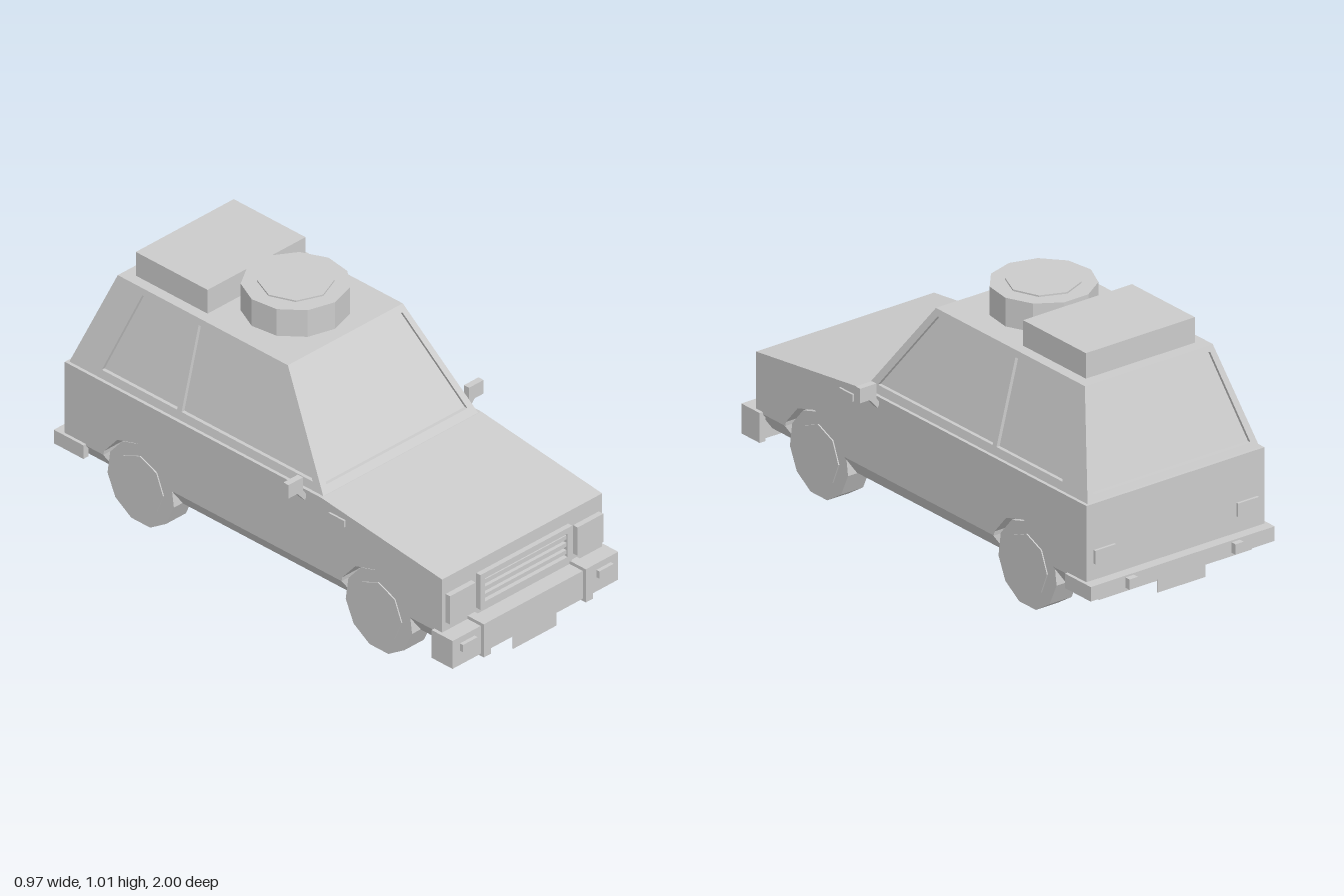
import * as THREE from 'three';

const mat = new THREE.MeshStandardMaterial({ color: 0xcccccc, flatShading: true, side: THREE.DoubleSide });
const V = (x, y, z) => new THREE.Vector3(x, y, z);
const shapeOf = pts => new THREE.Shape(pts.map(p => new THREE.Vector2(...p)));

export function createModel() {
  const car = new THREE.Group();
  car.name = 'offRoadCar';

  const add = (name, geo, parent = car) => {
    const m = new THREE.Mesh(geo, mat);
    m.name = name;
    parent.add(m);
    return m;
  };
  // Box given by its extents on each axis
  const box = (name, x0, x1, y0, y1, z0, z1) => {
    const g = new THREE.BoxGeometry(Math.abs(x1 - x0), y1 - y0, Math.abs(z1 - z0));
    g.translate((x0 + x1) / 2, (y0 + y1) / 2, (z0 + z1) / 2);
    return add(name, g);
  };
  // The same box on both sides of the car
  const pair = (name, x0, x1, ...rest) => {
    box(name + 'Left', x0, x1, ...rest);
    box(name + 'Right', -x1, -x0, ...rest);
  };

  // Wheel positions and the polygon shared by tyres and arches
  const SIDES = 11, R = 0.165, AXLE_Y = 0.158, axles = [0.59, -0.582];
  const sill = 0.215, belt = 0.515, half = 0.397;

  // Main body, side outline with wheel arches cut out (u runs along z)
  const outline = [[-0.937, sill], [-0.937, belt], [0.325, belt], [0.92, 0.442], [0.92, sill]];
  for (const z of axles) {
    outline.push([z + 0.165, sill]);
    for (let k = 2; k >= -2; k--) {
      const a = k * 2 * Math.PI / SIDES;
      outline.push([z + 0.178 * Math.sin(a), AXLE_Y + 0.178 * Math.cos(a)]);
    }
    outline.push([z - 0.165, sill]);
  }
  const body = new THREE.ExtrudeGeometry(shapeOf(outline), { depth: half * 2, bevelEnabled: false });
  body.translate(0, 0, -half).rotateY(-Math.PI / 2);
  add('body', body);

  // Sills below the body, tapering inwards
  const sillShape = shapeOf([[-0.34, 0.138], [0.34, 0.138], [half, sill], [-half, sill]]);
  for (const [z0, z1] of [[0.76, 0.92], [-0.41, 0.425], [-0.937, -0.75]]) {
    const g = new THREE.ExtrudeGeometry(sillShape, { depth: z1 - z0, bevelEnabled: false });
    add('sill', g.translate(0, 0, z0));
  }

  // Cabin walls: sloped panels with window holes and recessed glass
  const wall = (name, u, w, offset, slope, frame, windows) => {
    const m = new THREE.Matrix4().makeBasis(u, V(0, 1, 0).addScaledVector(w, slope), w);
    m.setPosition(w.clone().multiplyScalar(offset).setY(belt));
    const local = pts => pts.map(([a, y]) => [a, y - belt]);
    const shape = shapeOf(local(frame));
    for (const win of windows) {
      shape.holes.push(shapeOf(local(win)));
      const glass = new THREE.ShapeGeometry(shapeOf(local(win)));
      add(name + 'Glass', glass.translate(0, 0, -0.014).applyMatrix4(m));
    }
    const g = new THREE.ExtrudeGeometry(shape, { depth: 0.02, bevelEnabled: false });
    add(name + 'Frame', g.translate(0, 0, -0.02).applyMatrix4(m));
  };
  const roofY = 0.89, rise = roofY - belt, baseX = 0.384, topX = 0.285;
  const zf = 0.322, zft = 0.05, zr = -0.927, zrt = -0.787;
  const endFrame = [[-baseX, belt], [baseX, belt], [topX, roofY], [-topX, roofY]];
  const endWindow = [[-0.35, 0.54], [0.35, 0.54], [0.267, 0.868], [-0.267, 0.868]];
  wall('windscreen', V(1, 0, 0), V(0, 0, 1), zf, (zft - zf) / rise, endFrame, [endWindow]);
  wall('rearWindow', V(-1, 0, 0), V(0, 0, -1), -zr, (zr - zrt) / rise, endFrame, [endWindow]);
  const sideFrame = [[zr, belt], [zf, belt], [zft, roofY], [zrt, roofY]];
  const sideWindows = [
    [[-0.383, 0.545], [0.262, 0.545], [0.032, 0.866], [-0.383, 0.866]],
    [[-0.775, 0.545], [-0.405, 0.545], [-0.405, 0.866], [-0.66, 0.866]],
  ];
  for (const s of [1, -1]) {
    const flip = pts => pts.map(([z, y]) => [-s * z, y]);
    wall(s > 0 ? 'leftSide' : 'rightSide', V(0, 0, -s), V(s, 0, 0), baseX,
      (topX - baseX) / rise, flip(sideFrame), sideWindows.map(flip));
  }
  box('roof', -topX, topX, roofY - 0.012, roofY, zrt, zft);

  // Roof load: cargo box and spare wheel
  box('cargoBox', -0.243, 0.243, roofY, 0.988, -0.74, -0.387);
  const spare = new THREE.Group();
  spare.name = 'spareWheel';
  spare.position.set(0, roofY, -0.194);
  add('spareTyre', new THREE.CylinderGeometry(0.193, 0.193, 0.11, SIDES).translate(0, 0.055, 0), spare);
  add('spareHub', new THREE.CylinderGeometry(0.135, 0.135, 0.116, 8).translate(0, 0.058, 0), spare);
  car.add(spare);

  // Wheels, with a thick axle drum running through each pair
  const roller = (r, width, sides) =>
    new THREE.CylinderGeometry(r, r, width, sides).rotateZ(Math.PI / 2).rotateX(-Math.PI / 2);
  axles.forEach((z, i) => {
    const end = i ? 'rear' : 'front';
    for (const s of [1, -1])
      add(end + (s > 0 ? 'LeftTyre' : 'RightTyre'), roller(R, 0.098, SIDES)).position.set(s * 0.329, AXLE_Y, z);
    add(end + 'AxleHub', roller(0.115, 0.766, 8)).position.set(0, AXLE_Y + 0.003, z);
  });

  // Grille: frame with a recess and horizontal slats
  const grille = shapeOf([[-0.228, 0.25], [0.228, 0.25], [0.228, 0.393], [-0.228, 0.393]]);
  grille.holes.push(shapeOf([[-0.205, 0.274], [0.205, 0.274], [0.205, 0.37], [-0.205, 0.37]]));
  const grilleGeo = new THREE.ExtrudeGeometry(grille, { depth: 0.022, bevelEnabled: false });
  add('grilleFrame', grilleGeo.translate(0, 0, 0.918));
  for (const y of [0.292, 0.322, 0.352]) box('grilleSlat', -0.205, 0.205, y - 0.008, y + 0.008, 0.915, 0.934);

  // Lamps
  pair('headlight', 0.253, 0.38, 0.258, 0.375, 0.91, 0.942);
  pair('frontIndicator', 0.302, 0.374, 0.167, 0.197, 0.97, 1.0);
  pair('sideIndicator', 0.39, 0.405, 0.449, 0.476, 0.368, 0.445);
  pair('tailLight', 0.272, 0.365, 0.285, 0.337, -0.947, -0.93);

  // Front bumper with wrapped ends, overriders and plate
  box('frontBumper', -0.411, 0.411, 0.108, 0.223, 0.9, 0.985);
  pair('frontBumperEnd', 0.385, 0.411, 0.108, 0.223, 0.882, 0.985);
  pair('frontOverrider', 0.235, 0.271, 0.099, 0.236, 0.91, 1.0);
  box('frontPlate', -0.107, 0.107, 0.053, 0.112, 0.978, 0.982);

  // Rear bumper with wrapped ends, overriders and plate
  box('rearBumper', -0.41, 0.41, 0.166, 0.222, -0.978, -0.92);
  pair('rearBumperEnd', 0.385, 0.41, 0.166, 0.222, -0.978, -0.832);
  pair('rearOverrider', 0.218, 0.255, 0.175, 0.215, -1.0, -0.95);
  box('rearPlate', -0.107, 0.107, 0.112, 0.17, -0.972, -0.968);

  // Door mirrors on slanted arms
  pair('mirror', 0.412, 0.484, 0.517, 0.573, 0.225, 0.25);
  for (const s of [1, -1]) {
    const pts = [[0.392, 0.492], [0.402, 0.474], [0.44, 0.517], [0.414, 0.523]].map(([x, y]) => [s * x, y]);
    const arm = new THREE.ExtrudeGeometry(shapeOf(pts), { depth: 0.02, bevelEnabled: false });
    add(s > 0 ? 'mirrorArmLeft' : 'mirrorArmRight', arm.translate(0, 0, 0.23));
  }

  return car;
}
